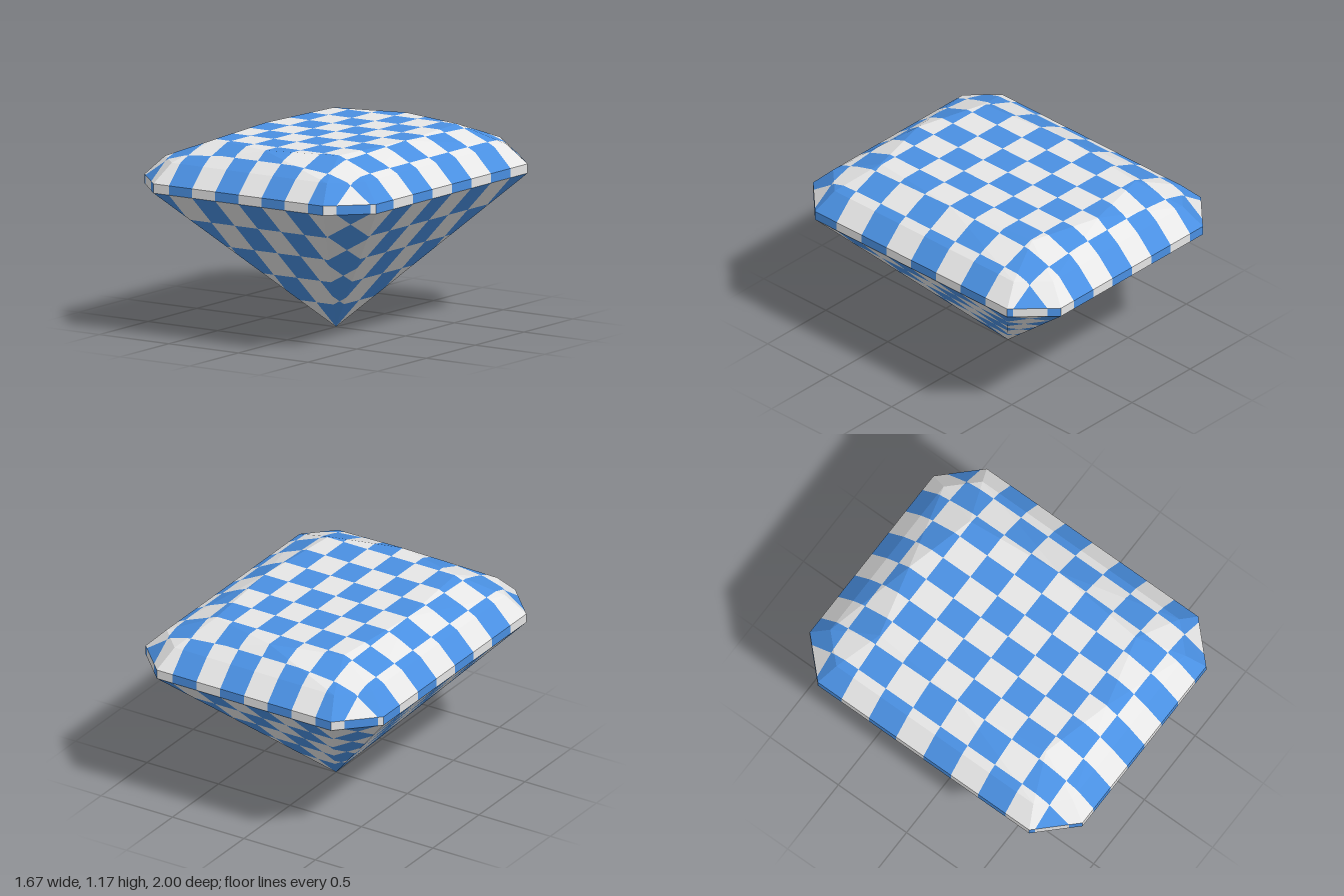
import * as THREE from 'three';

const HALF_X = 0.833, HALF_Z = 1, CELLS = 10;
const INSIDE = new THREE.Vector3(0, 0.9, 0);
const v = (x, y, z) => new THREE.Vector3(x, y, z);

// Eight-sided ring with cut corners: (a, z) ends the front edge, (x, b) ends the side edge
function cutCornerRing(x, z, a, b, y) {
  return [[a, z], [x, b], [x, -b], [a, -z], [-a, -z], [-x, -b], [-x, b], [-a, z]]
    .map(([px, pz]) => v(px, y, pz));
}

// Keep the part of a convex polygon where sign * (p[axis] - limit) >= 0
function clip(poly, axis, limit, sign) {
  const out = [];
  poly.forEach((p, i) => {
    const q = poly[(i + 1) % poly.length];
    const dp = sign * (p[axis] - limit), dq = sign * (q[axis] - limit);
    if (dp >= 0) out.push(p);
    if ((dp > 0 && dq < 0) || (dp < 0 && dq > 0)) out.push(p.clone().lerp(q, dp / (dp - dq)));
  });
  return out;
}

// Keep the part of a polygon inside one strip of the check; outer strips are open-ended
function strip(poly, axis, half, i) {
  const step = (2 * half) / CELLS;
  if (i > 0) poly = clip(poly, axis, -half + i * step, 1);
  if (i < CELLS - 1) poly = clip(poly, axis, -half + (i + 1) * step, -1);
  return poly;
}

// Cut facets into checks and build one mesh with a group per colour
function checkedPart(name, facets, materials) {
  const lists = [[], []];
  const normal = v(), edge = v();
  for (const facet of facets) {
    normal.subVectors(facet[1], facet[0]).cross(edge.subVectors(facet[2], facet[0]));
    const outward = normal.dot(edge.subVectors(facet[0], INSIDE)) > 0;
    const poly = outward ? facet : [...facet].reverse();
    for (let i = 0; i < CELLS; i++) {
      const column = strip(poly, 'x', HALF_X, i);
      if (column.length < 3) continue;
      for (let j = 0; j < CELLS; j++) {
        const piece = strip(column, 'z', HALF_Z, j);
        for (let k = 1; k < piece.length - 1; k++) {
          const tri = new THREE.Triangle(piece[0], piece[k], piece[k + 1]);
          if (tri.getArea() < 1e-7) continue;
          for (const p of [tri.a, tri.b, tri.c]) lists[(i + j) % 2].push(p.x, p.y, p.z);
        }
      }
    }
  }
  const geometry = new THREE.BufferGeometry();
  geometry.setAttribute('position', new THREE.Float32BufferAttribute(lists.flat(), 3));
  geometry.addGroup(0, lists[0].length / 3, 0);
  geometry.addGroup(lists[0].length / 3, lists[1].length / 3, 1);
  geometry.computeVertexNormals();
  const mesh = new THREE.Mesh(geometry, materials);
  mesh.name = name;
  return mesh;
}

// Four-cornered facets between two matching rings
const band = (lower, upper) => lower.map((p, i) => {
  const n = (i + 1) % lower.length;
  return [p, lower[n], upper[n], upper[i]];
});

export function createModel() {
  const blue = new THREE.MeshStandardMaterial({ color: 0x4a90e2 });
  blue.name = 'blue';
  const white = new THREE.MeshStandardMaterial({ color: 0xe6e6e6 });
  white.name = 'paleGrey';
  // The checks on top are offset by one cell from those below
  const lowerChecks = [blue, white];
  const upperChecks = [white, blue];

  const girdleLow = cutCornerRing(HALF_X, HALF_Z, 0.61, 0.775, 0.89);
  const girdleHigh = cutCornerRing(HALF_X, HALF_Z, 0.61, 0.775, 0.946);
  const crownRing = cutCornerRing(0.72, 0.887, 0.558, 0.722, 1.06);
  // Table corners sit over the middle of each crown edge
  const table = [[0.445, 0.61], [0.5, 0], [0.445, -0.61], [0, -0.725],
    [-0.445, -0.61], [-0.5, 0], [-0.445, 0.61], [0, 0.725]].map(([x, z]) => v(x, 1.17, z));

  // Alternating triangles joining the crown to the table
  const stars = crownRing.flatMap((p, i) => {
    const n = (i + 1) % 8;
    return [[p, crownRing[n], table[i]], [crownRing[n], table[n], table[i]]];
  });
  const tip = v(0, 0, 0);
  const pavilion = girdleLow.map((p, i) => [p, girdleLow[(i + 1) % 8], tip]);

  // The long girdle sides continue the crown checks, the cut corners the lower ones
  const girdle = band(girdleLow, girdleHigh);
  const girdleCorners = girdle.filter((_, i) => i % 2 === 0);
  const girdleSides = girdle.filter((_, i) => i % 2 === 1);

  const gem = new THREE.Group();
  gem.name = 'cutGem';
  gem.add(
    checkedPart('table', [table], upperChecks),
    checkedPart('upperCrown', stars, upperChecks),
    checkedPart('lowerCrown', band(girdleHigh, crownRing), upperChecks),
    checkedPart('girdleCorners', girdleCorners, lowerChecks),
    checkedPart('girdleSides', girdleSides, upperChecks),
    checkedPart('pavilion', pavilion, lowerChecks),
  );
  return gem;
}
